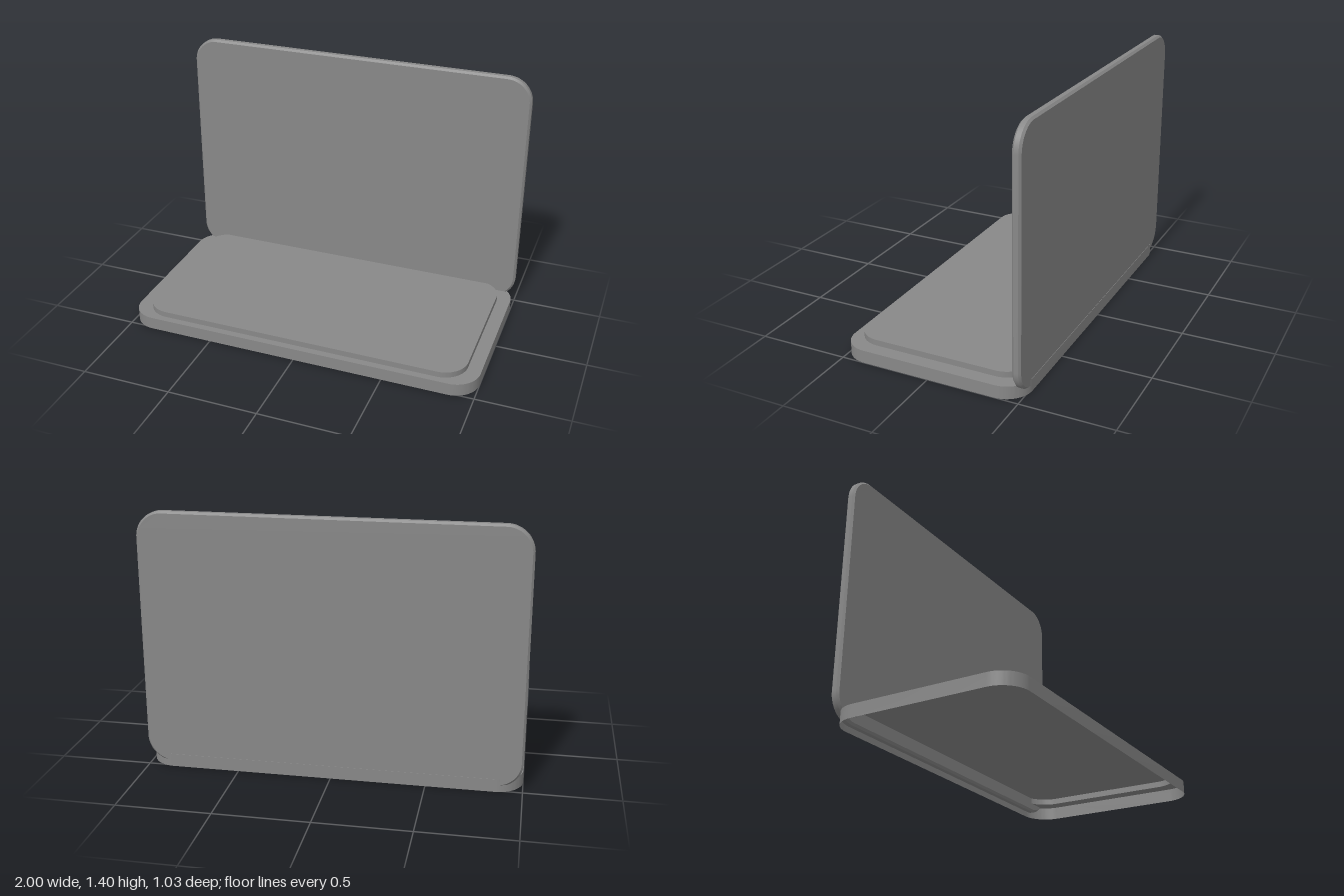
import * as THREE from 'three';
import { toCreasedNormals } from 'three/addons/utils/BufferGeometryUtils.js';

const SEG = 12; // divisions per rounded corner
const material = new THREE.MeshStandardMaterial({ color: 0x888888, side: THREE.DoubleSide });

// Counter-clockwise rounded rectangle, centred on the origin
function roundedRect(width, height, r, Type = THREE.Shape) {
  const w = width / 2 - r, h = height / 2 - r;
  const path = new Type();
  path.absarc(w, h, r, 0, Math.PI / 2);
  path.absarc(-w, h, r, Math.PI / 2, Math.PI);
  path.absarc(-w, -h, r, Math.PI, Math.PI * 1.5);
  path.absarc(w, -h, r, Math.PI * 1.5, Math.PI * 2);
  path.closePath();
  return path;
}

// Open upright band following an outline on the ground plane
function wallGeometry(outline, y0, y1) {
  const pts = outline.getPoints(SEG);
  const positions = [], index = [];
  pts.forEach((p, i) => {
    positions.push(p.x, y0, -p.y, p.x, y1, -p.y);
    if (i < pts.length - 1) {
      const a = i * 2;
      index.push(a, a + 2, a + 3, a, a + 3, a + 1);
    }
  });
  const geo = new THREE.BufferGeometry();
  geo.setAttribute('position', new THREE.Float32BufferAttribute(positions, 3));
  geo.setIndex(index);
  return toCreasedNormals(geo, 0.6);
}

// Horizontal sheet facing up
function sheetGeometry(shape, y) {
  return new THREE.ShapeGeometry(shape, SEG).rotateX(-Math.PI / 2).translate(0, y, 0);
}

export function createModel() {
  const group = new THREE.Group();
  const add = (name, geometry) => {
    const mesh = new THREE.Mesh(geometry, material);
    mesh.name = name;
    group.add(mesh);
  };

  const baseTop = 0.07, deckTop = 0.102;
  const base = () => roundedRect(2, 1.026, 0.14);
  const deck = (Type) => roundedRect(1.85, 0.95, 0.135, Type);

  // Hollow base, open underneath: outer wall, ledge, raised deck
  add('baseWall', wallGeometry(base(), 0, baseTop));
  const ledge = base();
  ledge.holes.push(deck(THREE.Path));
  add('baseLedge', sheetGeometry(ledge, baseTop));
  add('deckWall', wallGeometry(deck(), baseTop, deckTop));
  add('deckTop', sheetGeometry(deck(), deckTop));

  // Upright lid panel with chamfered rim
  const bevel = 0.011, bottom = 0.025, top = 1.396, thick = 0.047;
  const lid = new THREE.ExtrudeGeometry(
    roundedRect(2 - 2 * bevel, top - bottom - 2 * bevel, 0.14 - bevel), {
      depth: thick - 2 * bevel, curveSegments: SEG, bevelEnabled: true,
      bevelSize: bevel, bevelThickness: bevel, bevelSegments: 1,
    });
  lid.translate(0, (top + bottom) / 2, -0.511 + bevel);
  add('lidPanel', toCreasedNormals(lid, 0.6));

  return group;
}
